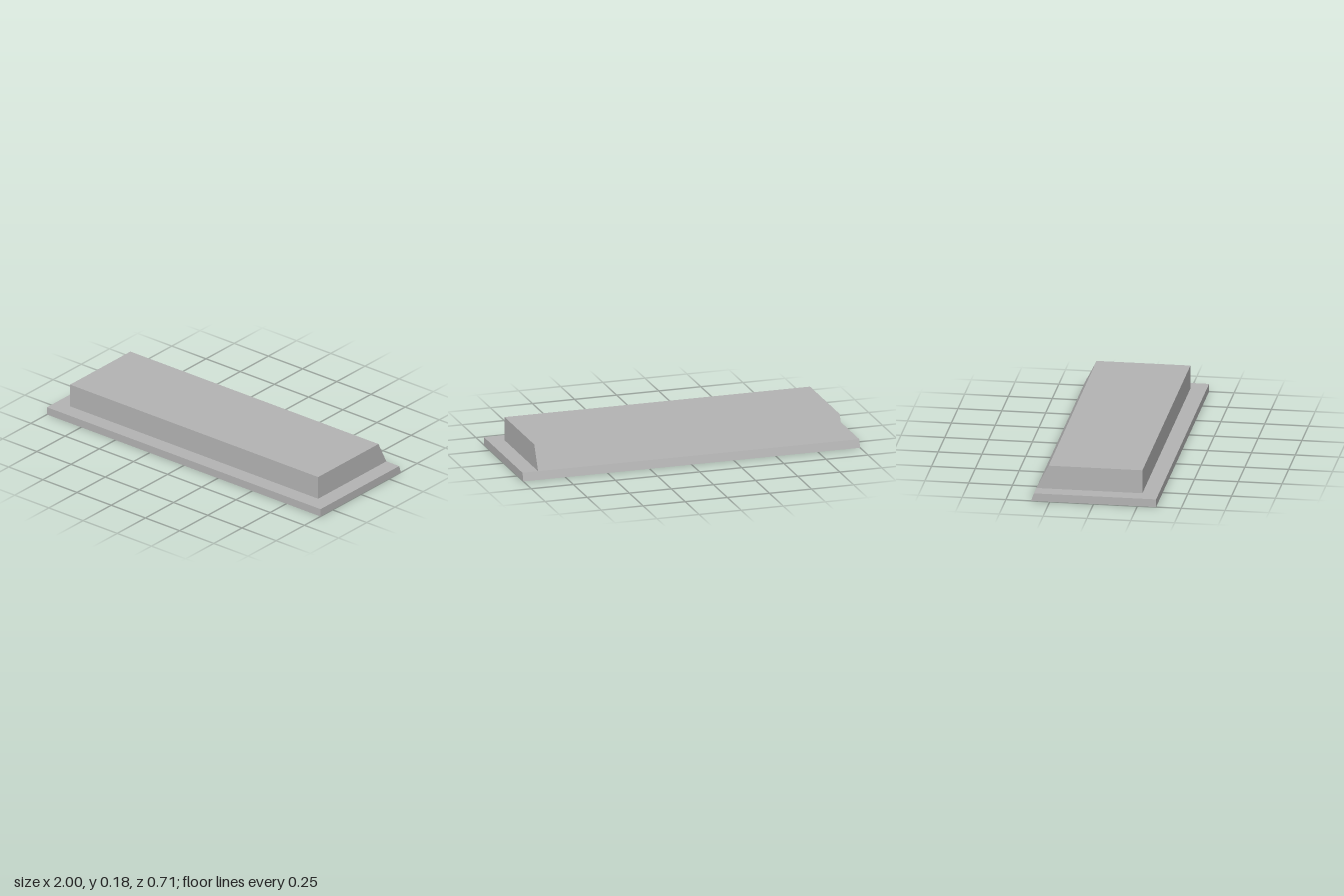
import * as THREE from 'three';

// Rectangular cross-section: height, half width, front z, back z
const ring = (y, x, zFront, zBack) =>
  [[x, y, zFront], [x, y, zBack], [-x, y, zBack], [-x, y, zFront]];

// Skin between successive rings, with optional end caps
function skin(rings, { capStart = false, capEnd = false } = {}) {
  const pos = [];
  const quad = (a, b, c, d) => pos.push(...a, ...b, ...c, ...a, ...c, ...d);
  for (let r = 0; r < rings.length - 1; r++) {
    const lo = rings[r], hi = rings[r + 1];
    for (let i = 0; i < 4; i++) {
      const j = (i + 1) % 4;
      quad(lo[i], lo[j], hi[j], hi[i]);
    }
  }
  if (capStart) quad(...[...rings[0]].reverse());
  if (capEnd) quad(...rings[rings.length - 1]);
  const geometry = new THREE.BufferGeometry();
  geometry.setAttribute('position', new THREE.Float32BufferAttribute(pos, 3));
  geometry.computeVertexNormals();
  return geometry;
}

export function createModel() {
  const group = new THREE.Group();
  group.name = 'hollowCover';
  const grey = new THREE.MeshStandardMaterial({ color: 0xb2b2b2 });
  grey.name = 'grey';

  const add = (name, geometry) => {
    const mesh = new THREE.Mesh(geometry, grey);
    mesh.name = name;
    group.add(mesh);
  };

  const opening = ring(0, 0.834, 0.182, -0.287);
  const bodyFoot = ring(0.046, 0.907, 0.265, -0.34);

  // Recess under the cover, its back wall parallel to the sloped back
  add('cavity', skin([ring(0.117, 0.834, 0.182, -0.227), opening], { capStart: true }));

  // Rim around the foot: underside, edges and upper ledge
  add('flange', skin([
    opening,
    ring(0, 1, 0.357, -0.357),
    ring(0.046, 1, 0.357, -0.34),
    bodyFoot,
  ]));

  // Raised body with upright front and sides and a sloped back
  add('body', skin([bodyFoot, ring(0.183, 0.907, 0.265, -0.27)], { capEnd: true }));

  return group;
}
